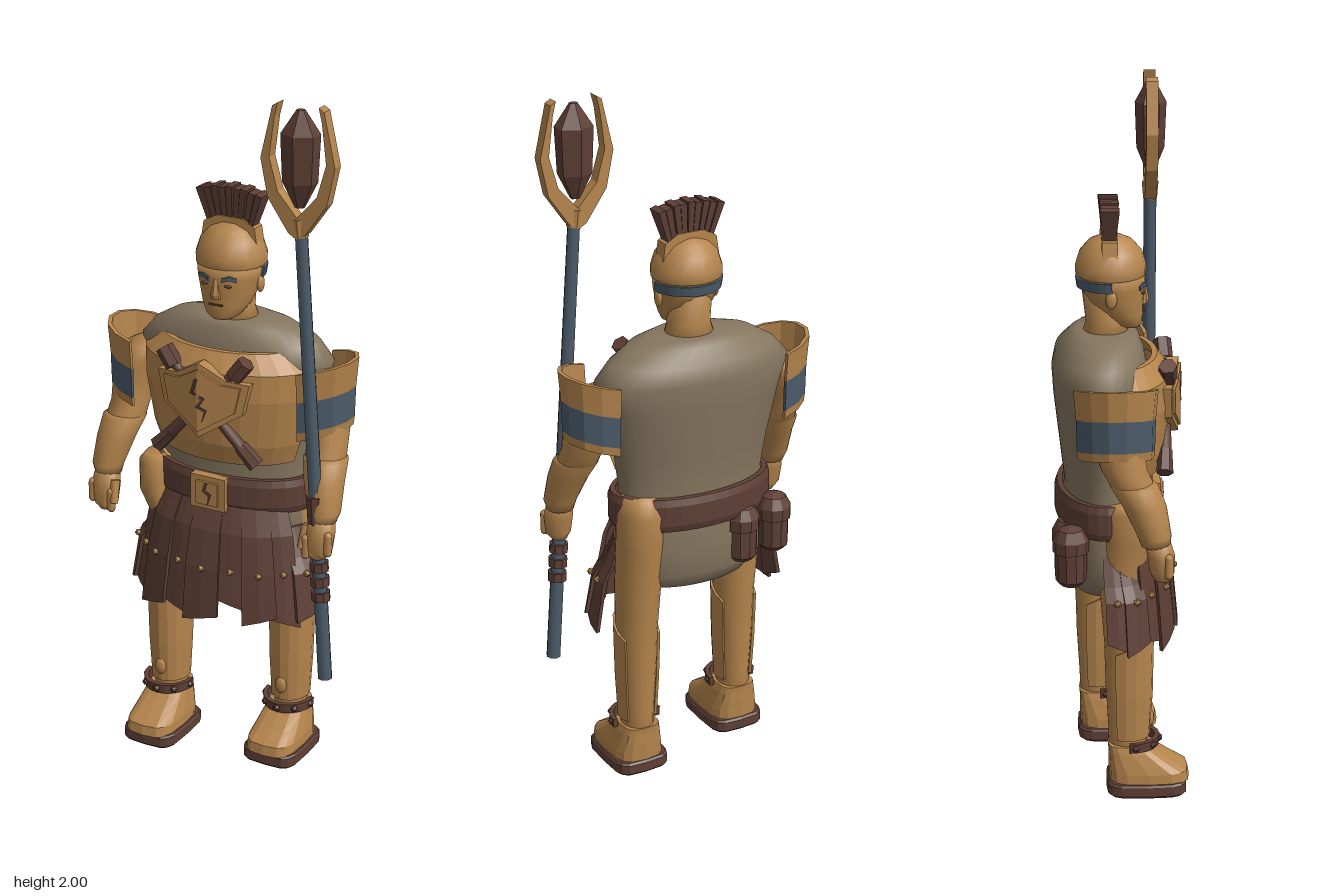
import * as THREE from 'three';

const mat = (name, color) => {
  const m = new THREE.MeshStandardMaterial({ color });
  m.name = name;
  return m;
};

// Closed body from horizontal elliptical rings, listed bottom to top: [y, x, z, rx, rz]
function loft(rows, seg = 20, square = 1) {
  const pos = [], idx = [];
  const pw = (v) => Math.sign(v) * Math.abs(v) ** square;
  rows.forEach(([y, x, z, rx, rz]) => {
    for (let j = 0; j < seg; j++) {
      const a = (j / seg) * Math.PI * 2;
      pos.push(x + rx * pw(Math.sin(a)), y, z + rz * pw(Math.cos(a)));
    }
  });
  const n = rows.length, bottom = n * seg, top = bottom + 1;
  for (const r of [rows[0], rows[n - 1]]) pos.push(r[1], r[0], r[2]);
  for (let j = 0; j < seg; j++) {
    const k = (j + 1) % seg, t = (n - 1) * seg;
    for (let i = 0; i < n - 1; i++) {
      const a = i * seg + j, b = i * seg + k;
      idx.push(a, b, b + seg, a, b + seg, a + seg);
    }
    idx.push(bottom, k, j, top, t + j, t + k);
  }
  const g = new THREE.BufferGeometry();
  g.setAttribute('position', new THREE.Float32BufferAttribute(pos, 3));
  g.setIndex(idx);
  g.computeVertexNormals();
  return g;
}

function flat(g) {
  const f = g.index ? g.toNonIndexed() : g;
  f.computeVertexNormals();
  return f;
}

// Curved plate with thickness, following part of the rings; angle 0 faces the front
function shell(rows, a0, a1, seg, thick, rise = () => 0) {
  const n = rows.length - 1;
  const g = new THREE.BoxGeometry(1, 1, 1, seg, n, 1), p = g.attributes.position;
  for (let i = 0; i < p.count; i++) {
    const u = p.getX(i) + 0.5, v = p.getY(i) + 0.5, w = p.getZ(i) * thick;
    const [y, x, z, rx, rz] = rows[Math.round(v * n)], a = a0 + (a1 - a0) * u;
    p.setXYZ(i, x + (rx + w) * Math.sin(a), y + rise(a, u, v), z + (rz + w) * Math.cos(a));
  }
  return flat(g);
}

// Straight rod between two points
function rod(a, b, r0, r1, seg = 8) {
  const p = new THREE.Vector3(...a), q = new THREE.Vector3(...b), d = q.clone().sub(p);
  const g = new THREE.CylinderGeometry(r1, r0, d.length(), seg);
  g.applyQuaternion(new THREE.Quaternion().setFromUnitVectors(new THREE.Vector3(0, 1, 0), d.normalize()));
  return g.translate(...p.add(q).multiplyScalar(0.5).toArray());
}

// Flat outline with depth; sweep slopes it backwards away from the middle
function plate(points, depth, z, sweep = 0) {
  const shape = new THREE.Shape(points.map(([x, y]) => new THREE.Vector2(x, y)));
  const g = new THREE.ExtrudeGeometry(shape, { depth, bevelEnabled: false }).translate(0, 0, z), p = g.attributes.position;
  for (let i = 0; i < p.count; i++) p.setZ(i, p.getZ(i) - sweep * Math.abs(p.getX(i)));
  return flat(g);
}

const ball = (x, y, z, rx, ry = rx, rz = rx) => new THREE.SphereGeometry(1, 12, 8).scale(rx, ry, rz).translate(x, y, z);

export function createModel() {
  const bronze = mat('bronze', 0xb5854d), leather = mat('leather brown', 0x5e3f35);
  const cloth = mat('tunic taupe', 0x85765f), steel = mat('slate blue', 0x4c5c6a);
  const root = new THREE.Group();
  root.name = 'guard';
  const add = (name, geo, material, parent = root) => {
    const m = new THREE.Mesh(geo, material);
    m.name = name;
    parent.add(m);
    return m;
  };
  const group = (name) => {
    const g = new THREE.Group();
    g.name = name;
    root.add(g);
    return g;
  };

  // Tunic
  add('tunic', loft([
    [0.575, 0, -0.06, 0.09, 0.05], [0.595, 0, -0.06, 0.17, 0.085], [0.64, 0, -0.055, 0.22, 0.112], [0.72, 0, -0.05, 0.236, 0.12],
    [0.8, 0, -0.05, 0.23, 0.118], [0.9, 0, -0.05, 0.225, 0.112], [1.0, 0, -0.055, 0.24, 0.118], [1.15, 0, -0.06, 0.275, 0.13],
    [1.23, 0, -0.06, 0.302, 0.135], [1.28, 0, -0.06, 0.258, 0.125], [1.32, 0, -0.05, 0.19, 0.1], [1.335, 0, -0.045, 0.12, 0.08]], 32), cloth);

  // Breastplate with shield emblem and crossed mallets
  add('breastplate', shell([
    [0.94, 0, -0.04, 0.215, 0.14], [1.0, 0, -0.04, 0.235, 0.16], [1.14, 0, -0.04, 0.26, 0.175],
    [1.22, 0, -0.04, 0.262, 0.17], [1.27, 0, -0.04, 0.205, 0.135]], -1.32, 1.32, 12, 0.016), bronze);
  const emblem = group('emblem');
  const badge = (s, k) => [[0, 1.25], [0.08, 1.205], [0.145, 1.2], [0.125, 1.11], [0, 1.03]]
    .map(([x, y]) => [s * x * k, 1.14 + (y - 1.14) * k]);
  add('badgeCrack', plate([[-0.008, 1.205], [0.002, 1.205], [-0.012, 1.165], [0.022, 1.15], [0.006, 1.125], [0.028, 1.115],
    [0.014, 1.08], [0.02, 1.11], [-0.006, 1.122], [0.01, 1.145], [-0.024, 1.16]], 0.008, 0.165, 0.2), leather, emblem);
  for (const s of [-1, 1]) {
    add('shieldBadge', plate(badge(s, 1), 0.035, 0.128, 0.2), bronze, emblem);
    add('shieldFace', plate(badge(s, 0.84), 0.009, 0.161, 0.2), bronze, emblem);
    const z = 0.128;
    add('malletShaft', rod([-0.15 * s, 0.97, z - 0.008], [0.12 * s, 1.25, z], 0.017, 0.015), leather, emblem);
    add('malletHead', flat(rod([0.095 * s, 1.215, z], [0.13 * s, 1.262, z - 0.004], 0.026, 0.026, 6)), leather, emblem);
    add('malletFoot', flat(rod([-0.16 * s, 0.96, z - 0.012], [-0.11 * s, 1.01, z - 0.008], 0.024, 0.02, 6)), leather, emblem);
  }

  // Belt, buckle and pouches
  const beltRows = [[0.79, 0, -0.045, 0.238, 0.13], [0.81, 0, -0.045, 0.245, 0.137], [0.87, 0, -0.045, 0.245, 0.137], [0.89, 0, -0.045, 0.238, 0.13]];
  add('belt', shell(beltRows, -Math.PI, Math.PI, 32, 0.016), leather);
  add('buckle', new THREE.BoxGeometry(0.11, 0.1, 0.025).translate(0, 0.84, 0.1), bronze);
  add('bucklePlate', new THREE.BoxGeometry(0.07, 0.07, 0.009).translate(0, 0.84, 0.116), bronze);
  add('buckleCrack', plate([[-0.004, 0.875], [0.004, 0.875], [-0.004, 0.85], [0.016, 0.84], [0.004, 0.805], [0.006, 0.834], [-0.014, 0.846]], 0.003, 0.12), leather);
  for (const [x, y] of [[-0.22, 0.74], [-0.115, 0.73]]) {
    const pouch = group('pouch');
    const ring = (dy, r) => [y + dy, x, -0.149, r, r];
    add('pouchBody', flat(loft([ring(-0.085, 0.03), ring(-0.07, 0.044), ring(0.02, 0.045)], 10)), leather, pouch);
    add('pouchLid', flat(loft([ring(0.015, 0.051), ring(0.05, 0.051), ring(0.08, 0.035), ring(0.09, 0.01)], 10)), leather, pouch);
  }

  // Torn leather skirt strips with studs
  const skirt = group('skirt'), count = 11;
  const drops = [0, 0.01, 0.005, 0.03, 0.015, 0.025, -0.03, 0.01, 0.02, 0.0, 0.01];
  for (let i = 0; i < count; i++) {
    const a = (i - (count - 1) / 2) * 0.3, o = (i % 2) * 0.01;
    const rows = [[0.49, 0, -0.03, 0.305 + o, 0.18 + o], [0.62, 0, -0.035, 0.282 + o, 0.17 + o], [0.73, 0, -0.04, 0.262 + o / 2, 0.16 + o / 2], [0.81, 0, -0.045, 0.23, 0.135]];
    const side = Math.abs(a) > 1.1 ? -0.07 : 0;
    const tear = (_, u, v) => v < 0.1 ? -drops[i] + 0.03 * (u - 0.5) * (i % 2 ? 1 : -1) : v > 0.5 ? side : 0;
    add('skirtStrip', shell(rows, a - 0.18, a + 0.18, 2, 0.012, tear), leather, skirt);
    add('skirtStud', new THREE.IcosahedronGeometry(0.011).translate((0.29 + o) * Math.sin(a), 0.62, -0.034 + (0.178 + o) * Math.cos(a)), bronze, skirt);
  }

  // Head, helmet and crest
  const head = group('head');
  add('neck', loft([[1.3, 0, -0.045, 0.08, 0.07], [1.36, 0, -0.04, 0.062, 0.058], [1.46, 0, -0.04, 0.065, 0.07]]), bronze, head);
  add('face', loft([
    [1.343, 0, 0.025, 0.03, 0.028], [1.355, 0, 0.015, 0.05, 0.046], [1.385, 0, -0.002, 0.07, 0.064], [1.42, 0, -0.016, 0.082, 0.08],
    [1.46, 0, -0.022, 0.092, 0.09], [1.5, 0, -0.027, 0.098, 0.095]]), bronze, head);
  add('helmet', loft([
    [1.49, 0, -0.028, 0.096, 0.092], [1.495, 0, -0.028, 0.101, 0.098], [1.52, 0, -0.028, 0.101, 0.099], [1.56, 0, -0.028, 0.088, 0.087],
    [1.59, 0, -0.028, 0.06, 0.06], [1.605, 0, -0.028, 0.025, 0.025]]), bronze, head);
  const browRows = [[1.465, 0, -0.022, 0.093, 0.091], [1.477, 0, -0.024, 0.095, 0.093]];
  const bandRows = [[1.46, 0, -0.024, 0.095, 0.095], [1.488, 0, -0.026, 0.099, 0.097]];
  add('headBand', shell(bandRows, 1.6, Math.PI * 2 - 1.6, 16, 0.008), steel, head);
  add('nose', flat(loft([[1.408, 0, 0.062, 0.017, 0.013], [1.42, 0, 0.064, 0.015, 0.015], [1.465, 0, 0.062, 0.007, 0.008]], 6)), bronze, head);
  add('mouth', new THREE.BoxGeometry(0.042, 0.005, 0.008).translate(0, 1.389, 0.061), leather, head);
  for (const s of [-1, 1]) {
    add('brow', shell(browRows, s * 0.44 - 0.22, s * 0.44 + 0.22, 4, 0.007, (a) => -0.03 * Math.abs(Math.abs(a) - 0.44)), steel, head);
    add('eye', ball(s * 0.036, 1.447, 0.06, 0.012, 0.004, 0.006), leather, head);
    add('ear', ball(s * 0.09, 1.44, -0.03, 0.01, 0.026, 0.016), bronze, head);
  }
  add('crestHolder', plate([[-0.088, 1.55], [0.088, 1.55], [0.08, 1.6], [0.04, 1.622], [-0.04, 1.622], [-0.08, 1.6]], 0.044, -0.055), bronze, head);
  for (let i = -4; i <= 4; i++) {
    const t = i / 4, c = add('crestTuft', flat(new THREE.CylinderGeometry(0.0145, 0.01, 0.095, 4, 1).rotateY(Math.PI / 4).scale(1, 1, i % 2 ? 2.3 : 2.6)), leather, head);
    c.position.set(t * 0.079, 1.662 - 0.012 * t * t - (i % 2 ? 0.004 : 0), -0.034);
    c.rotation.z = -t * 0.3;
  }

  for (const s of [-1, 1]) {
    const name = s > 0 ? 'left' : 'right';
    const sided = (rows) => rows.map(([y, x, ...r]) => [y, x * s, ...r]);

    // Arm and hand
    const arm = group(name + 'Arm');
    add('upperArm', loft(sided([
      [0.93, 0.332, 0.045, 0.04, 0.045], [0.98, 0.325, 0.02, 0.058, 0.06], [1.03, 0.32, -0.005, 0.057, 0.062], [1.1, 0.315, -0.02, 0.06, 0.075],
      [1.16, 0.3, -0.035, 0.062, 0.083], [1.2, 0.285, -0.04, 0.056, 0.07], [1.225, 0.265, -0.04, 0.025, 0.03]])), bronze, arm);
    add('forearm', loft(sided([
      [0.82, 0.35, 0.08, 0.038, 0.04], [0.85, 0.352, 0.076, 0.047, 0.047], [0.93, 0.338, 0.05, 0.057, 0.06], [0.985, 0.327, 0.022, 0.064, 0.066],
      [0.995, 0.325, 0.018, 0.052, 0.055]])), bronze, arm);
    add('palm', loft(sided([
      [0.715, 0.345, 0.1, 0.022, 0.022], [0.74, 0.35, 0.098, 0.038, 0.034], [0.79, 0.35, 0.095, 0.044, 0.038], [0.835, 0.35, 0.083, 0.036, 0.036]]), 12), bronze, arm);
    for (let f = 0; f < 4; f++)
      add('finger', new THREE.CapsuleGeometry(0.0125, 0.05, 3, 8).translate(s * (0.318 + f * 0.022), 0.75 + 0.006 * f, 0.12 - 0.002 * f), bronze, arm);
    add('thumb', rod([s * 0.312, 0.81, 0.105], [s * 0.306, 0.745, 0.125], 0.014, 0.012), bronze, arm);

    // Shoulder guard in three bands
    const guard = group(name + 'ShoulderGuard');
    const r = (y, k) => [y, s * 0.265, -0.025, 0.108 + k, 0.098 + k];
    const span = s > 0 ? [0, Math.PI] : [-Math.PI, 0], lift = (a) => 0.03 * Math.abs(Math.sin(a));
    add('guardTop', shell([r(1.155, 0.005), r(1.24, 0.012)], ...span, 7, 0.012, lift), bronze, guard);
    add('guardStripe', shell([r(1.065, 0.003), r(1.155, 0.005)], ...span, 7, 0.012, lift), steel, guard);
    add('guardRim', shell([r(1.04, 0), r(1.065, 0.003)], ...span, 7, 0.012, lift), bronze, guard);

    // Leg, greave, strap and sandalled foot
    const leg = group(name + 'Leg'), x = s * 0.184, z = s > 0 ? -0.06 : 0.012;
    const thigh = s > 0
      ? [[0.6, x, -0.07, 0.066, 0.072], [0.74, x, -0.085, 0.068, 0.074], [0.84, x, -0.09, 0.066, 0.078], [0.89, x, -0.085, 0.05, 0.06]]
      : [[0.6, x, 0.0, 0.066, 0.066], [0.7, x, -0.005, 0.066, 0.064], [0.78, x - 0.03, 0.015, 0.055, 0.07], [0.87, x - 0.033, 0.015, 0.052, 0.07], [0.89, x - 0.03, 0.01, 0.04, 0.05]];
    add('limb', loft([[0.06, x, z, 0.047, 0.052], [0.2, x, z, 0.048, 0.056], [0.34, x, z, 0.056, 0.064], [0.46, x, z, 0.06, 0.067], ...thigh]), bronze, leg);
    add('greave', shell([[0.17, x, z, 0.052, 0.06], [0.3, x, z, 0.059, 0.068], [0.46, x, z, 0.063, 0.071]], -2.1, 2.1, 10, 0.008,
      (a, u, v) => (v > 0.9 ? 0.04 * Math.cos(a) : 0)), bronze, leg);
    add('greaveKnob', ball(x, 0.22, z + 0.064, 0.018, 0.027, 0.012), bronze, leg);
    add('ankleStrap', shell([[0.142, x, z + 0.005, 0.069, 0.078], [0.17, x, z + 0.005, 0.071, 0.08]], -1.6, 1.6, 10, 0.014), leather, leg);
    for (let k = -2; k <= 2; k++)
      add('strapStud', new THREE.IcosahedronGeometry(0.012).translate(x + 0.074 * Math.sin(k * 0.7), 0.156, z + 0.005 + 0.085 * Math.cos(k * 0.7)), leather, leg);
    const c = z + 0.054;
    add('sole', flat(loft([[0, x, c, 0.08, 0.108], [0.008, x, c, 0.087, 0.116], [0.036, x, c, 0.087, 0.116], [0.042, x, c, 0.083, 0.11]], 16, 0.45)), leather, leg);
    add('foot', flat(loft([
      [0.04, x, c + 0.008, 0.078, 0.116], [0.07, x, c + 0.005, 0.076, 0.114], [0.1, x, c - 0.02, 0.069, 0.09], [0.13, x, c - 0.042, 0.062, 0.068],
      [0.15, x, z, 0.055, 0.058]], 16, 0.6)), bronze, leg);
  }

  // Staff with forked head and gem
  const staff = group('staff');
  const at = (y) => [0.375 - (y - 0.34) * 0.072, y, 0.097];
  add('pole', rod(at(0.34), at(1.68), 0.021, 0.018, 8), steel, staff);
  add('grip', flat(rod(at(0.82), at(0.9), 0.027, 0.027)), leather, staff);
  for (const y of [0.6, 0.645, 0.69]) add('gripRing', flat(rod(at(y - 0.015), at(y + 0.012), 0.028, 0.028)), leather, staff);
  add('forkSocket', flat(rod(at(1.64), at(1.69), 0.02, 0.024, 6)), bronze, staff);
  for (const s of [-1, 1])
    add('prong', plate([[0, 1.635], [0.025, 1.65], [0.088, 1.74], [0.11, 1.845], [0.076, 1.99], [0.06, 2.0], [0.07, 1.96], [0.084, 1.85], [0.058, 1.76], [0, 1.695]]
      .map(([x, y]) => [0.275 + s * x, y]), 0.034, 0.08), bronze, staff);
  add('gem', flat(loft([
    [1.72, 0.275, 0.097, 0.014, 0.012], [1.79, 0.275, 0.097, 0.05, 0.04], [1.92, 0.275, 0.097, 0.056, 0.045], [1.985, 0.275, 0.097, 0.012, 0.01]], 6)), leather, staff);
  return root;
}
